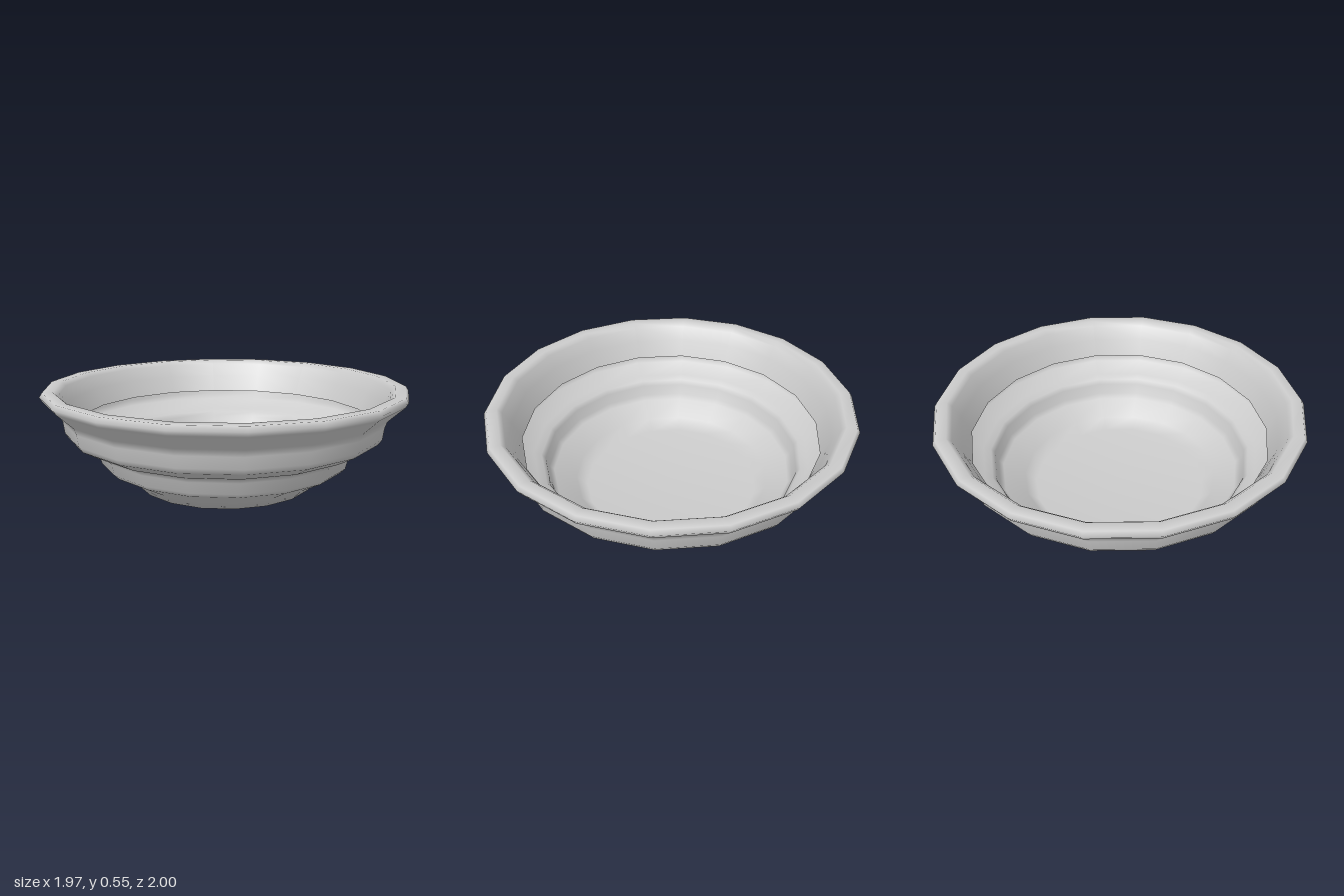
import * as THREE from 'three';

// Radius, height pairs: base centre, up the stepped outside, over the rim, down to the inner lip
const PROFILE = [
  [0, 0], [0.49, 0],
  [0.55, 0.06], [0.67, 0.125], [0.695, 0.15],       // foot flare
  [0.71, 0.21], [0.73, 0.235], [0.77, 0.25],        // lower step
  [0.86, 0.30], [0.88, 0.33],
  [0.888, 0.39], [0.90, 0.425],                     // upper step
  [0.985, 0.505], [1.0, 0.53], [0.985, 0.553],      // rim
  [0.93, 0.553], [0.905, 0.53],
  [0.865, 0.46], [0.82, 0.36],                      // inner wall, open at its lower lip
];

export function createModel() {
  const group = new THREE.Group();
  group.name = 'bowl';

  const points = PROFILE.map(([r, y]) => new THREE.Vector2(r, y));
  const shell = new THREE.Mesh(
    new THREE.LatheGeometry(points, 18),
    new THREE.MeshStandardMaterial({ color: 0xcccccc, side: THREE.DoubleSide })
  );
  shell.name = 'bowlShell';
  group.add(shell);
  return group;
}
